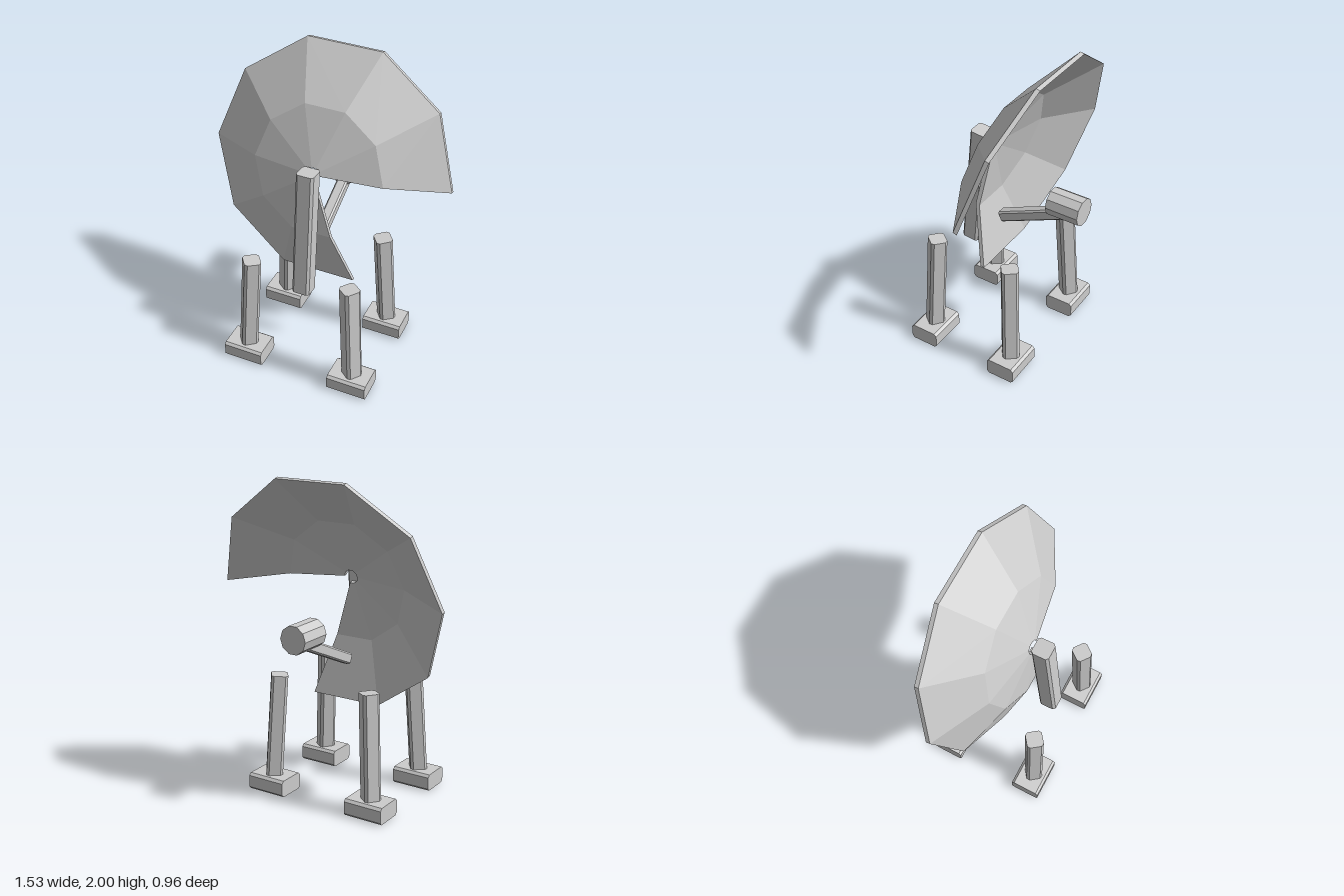
import * as THREE from 'three';
import { mergeGeometries } from 'three/addons/utils/BufferGeometryUtils.js';

const V = (x, y, z) => new THREE.Vector3(x, y, z);

// Rectangular bar with chamfered long edges, running along z and centred
function bar(w, h, length, c) {
  const x = w / 2, y = h / 2;
  const pts = [[x, y - c], [x - c, y], [c - x, y], [-x, y - c], [-x, c - y], [c - x, -y], [x - c, -y], [x, c - y]];
  const shape = new THREE.Shape(pts.map(p => new THREE.Vector2(...p)));
  return new THREE.ExtrudeGeometry(shape, { depth: length, bevelEnabled: false }).translate(0, 0, -length / 2);
}

export function createModel() {
  const model = new THREE.Group();
  const grey = new THREE.MeshStandardMaterial({ color: 0xcccccc, flatShading: true });
  grey.name = 'light grey';

  function add(name, geometry, parent = model) {
    const mesh = new THREE.Mesh(geometry, grey);
    mesh.name = name;
    parent.add(mesh);
    return mesh;
  }

  // Chamfered square bar spanning two points
  function strut(name, from, to, width, chamfer) {
    const mesh = add(name, bar(width, width, from.distanceTo(to), chamfer));
    mesh.position.copy(from).add(to).multiplyScalar(0.5);
    mesh.lookAt(to);
    return mesh;
  }

  // Dish: thick ten-sided shell with two wedges left out and a small centre hole
  const profile = [[0.763, 0], [0.41, 0.195], [0.045, 0.262], [0.045, 0.235], [0.41, 0.168], [0.763, -0.027]]
    .map(p => new THREE.Vector2(...p));
  const sweep = Math.PI * 1.6;
  const shell = new THREE.LatheGeometry([...profile, profile[0]], 8, Math.PI / 2, sweep).rotateX(Math.PI / 2);
  const startCap = new THREE.ShapeGeometry(new THREE.Shape(profile)).rotateX(Math.PI / 2);
  const mirrored = profile.map(p => new THREE.Vector2(p.x, -p.y));
  const endCap = new THREE.ShapeGeometry(new THREE.Shape(mirrored)).rotateX(-Math.PI / 2).rotateZ(sweep);
  const dish = add('dish', mergeGeometries([shell, startCap, endCap]));
  dish.position.set(0, 1.3, -0.09);
  dish.rotation.x = -0.269;

  // Leaning support post
  strut('post', V(0, 0.61, 0.31), V(0, 1.43, 0.228), 0.112, 0.015);

  // Feed arm and receiver
  strut('feedArm', V(0, 0.855, 0.088), V(0, 1.062, -0.372), 0.07, 0.01);
  const receiver = add('receiver', new THREE.CylinderGeometry(0.088, 0.088, 0.215, 10)
    .rotateY(Math.PI / 2).rotateX(Math.PI / 2));
  receiver.position.set(0, 1.107, -0.372);

  // Four legs leaning inward, each on a chamfered foot
  for (const side of [1, -1]) {
    for (const [end, z, lean] of [['front', 0.385, -0.027], ['back', -0.198, 0.027]]) {
      const label = end + (side > 0 ? 'Left' : 'Right');
      strut(label + 'Leg', V(side * 0.359, 0.09, z), V(side * 0.324, 0.764, z + lean), 0.104, 0.016);
      const foot = add(label + 'Foot', bar(0.192, 0.108, 0.256, 0.016).rotateY(Math.PI / 2));
      foot.position.set(side * 0.357, 0.054, z);
    }
  }
  return model;
}
